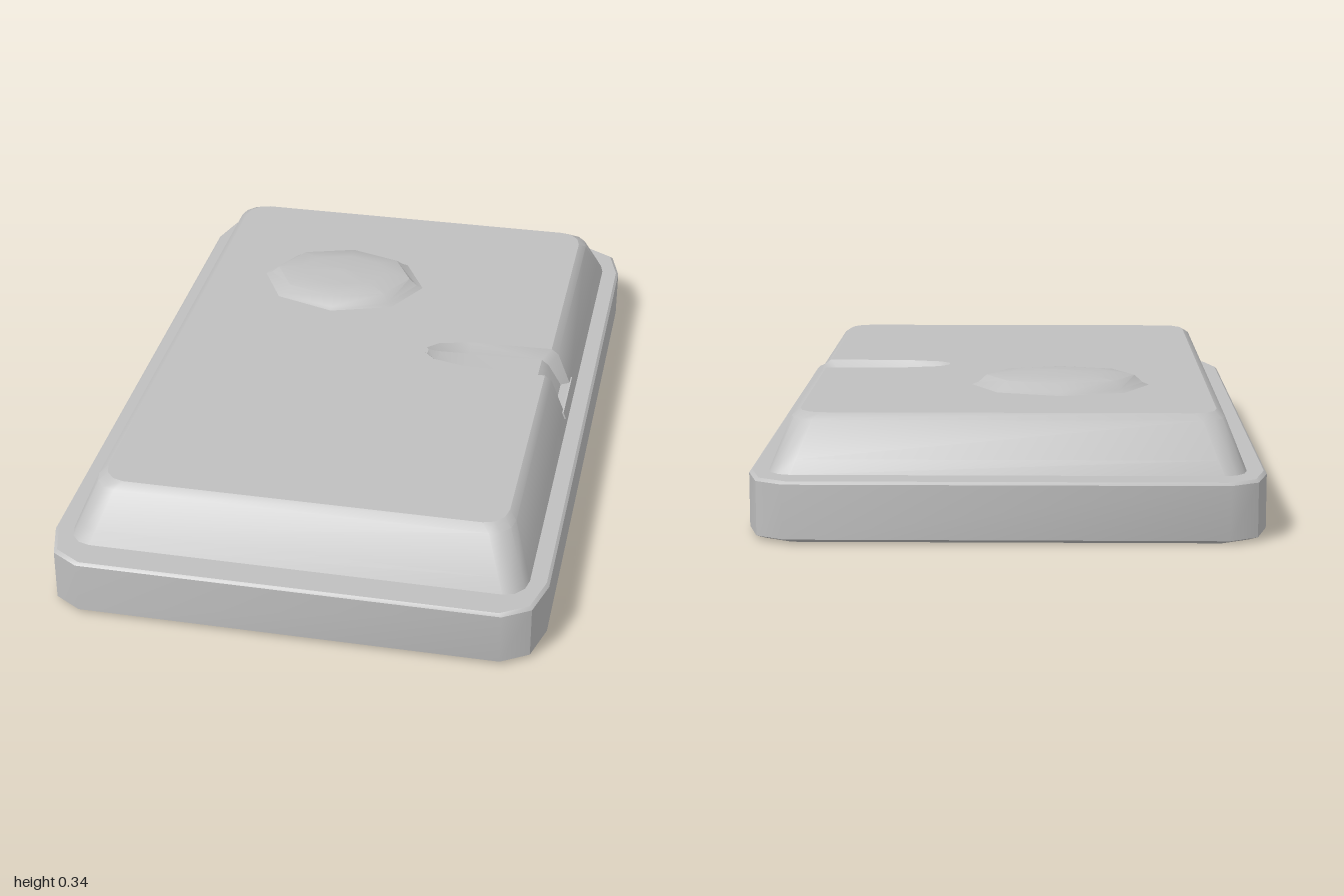
import * as THREE from 'three';
import { toCreasedNormals } from 'three/addons/utils/BufferGeometryUtils.js';

const NOTCH_Z = -0.01, NOTCH_W = 0.075;

// Skin between successive rows of [x, y, z] points
function loft(rows, closed = false) {
  const pos = [];
  for (let i = 0; i + 1 < rows.length; i++) {
    const n = rows[i].length;
    for (let j = 0; j < (closed ? n : n - 1); j++) {
      const k = (j + 1) % n;
      const a = rows[i][j], b = rows[i][k], c = rows[i + 1][k], d = rows[i + 1][j];
      pos.push(...a, ...b, ...c, ...a, ...c, ...d);
    }
  }
  const g = new THREE.BufferGeometry();
  g.setAttribute('position', new THREE.Float32BufferAttribute(pos, 3));
  return toCreasedNormals(g, 0.6);
}

// Horizontal face; points are [x, y, z], counter-clockwise from above
function cap(points, down = false) {
  const shape = new THREE.Shape(points.map((p) => new THREE.Vector2(p[0], -p[2])));
  const g = new THREE.ShapeGeometry(shape);
  g.rotateX(-Math.PI / 2).translate(0, points[0][1], 0);
  if (down) g.index.array.reverse();
  g.computeVertexNormals();
  return g;
}

// Rectangle with eased corners, starting at the middle of the +x side
function outline(y, hx, hz, rx, rz, segs) {
  const pts = [];
  [[1, 1], [-1, 1], [-1, -1], [1, -1]].forEach(([sx, sz], q) => {
    for (let s = 0; s <= segs; s++) {
      const t = (q + s / segs) * Math.PI / 2;
      pts.push([sx * (hx - rx) + rx * Math.cos(t), y, -sz * (hz - rz) - rz * Math.sin(t)]);
    }
  });
  return pts;
}

export function createModel() {
  const model = new THREE.Group();
  const grey = new THREE.MeshStandardMaterial({ color: 0xbfbfbf, side: THREE.DoubleSide });
  const add = (name, geometry) => {
    const mesh = new THREE.Mesh(geometry, grey);
    mesh.name = name;
    model.add(mesh);
    return mesh;
  };

  // Base slab with small bevels
  const base = [[0, 0.02], [0.01, 0], [0.148, 0], [0.155, 0.007]]
    .map(([y, inset]) => outline(y, 0.65 - inset, 1 - inset, 0.1, 0.15, 2));
  add('baseSides', loft(base, true));
  add('baseTop', cap(base[3]));
  add('baseBottom', cap(base[0], true));

  // Sloping upper body, left open where the notch crosses its side
  const levels = [[0.155, 0.6, 0.915], [0.19, 0.586, 0.893], [0.28, 0.55, 0.835], [0.295, 0.53, 0.812]];
  const body = levels.map(([y, hx, hz]) => [
    [hx, y, NOTCH_Z - NOTCH_W],
    ...outline(y, hx, hz, 0.06, 0.07, 3),
    [hx, y, NOTCH_Z + NOTCH_W],
  ]);
  add('bodySides', loft(body));
  add('bodyBelowNotch', loft(levels.slice(0, 2).map(([y, hx]) => [
    [hx, y, NOTCH_Z + NOTCH_W], [hx, y, NOTCH_Z - NOTCH_W],
  ])));

  // Notch stations: rim x, rim y, half width, floor x, floor y
  const stations = [
    [0.18, 0.295, 0.015, 0.185, 0.29],
    [0.21, 0.295, 0.045, 0.215, 0.274],
    [0.3, 0.295, 0.068, 0.3, 0.265],
    [0.53, 0.295, NOTCH_W, 0.505, 0.265],
    [0.55, 0.28, NOTCH_W, 0.525, 0.25],
    [0.586, 0.19, NOTCH_W, 0.562, 0.19],
    [0.586, 0.19, NOTCH_W, 0.586, 0.19],
  ];
  add('notch', loft(stations.map(([x, y, w, fx, fy]) => [
    [x, y, NOTCH_Z - w], [fx, fy, NOTCH_Z - 0.8 * w],
    [fx, fy, NOTCH_Z + 0.8 * w], [x, y, NOTCH_Z + w],
  ])));

  // Top face, cut around the notch
  const rim = stations.slice(0, 3);
  add('bodyTop', cap([
    ...body[3],
    ...rim.slice().reverse().map(([x, y, w]) => [x, y, NOTCH_Z + w]),
    ...rim.map(([x, y, w]) => [x, y, NOTCH_Z - w]),
  ]));

  // Small lip at the foot of the notch
  const lip = add('notchLip', new THREE.BoxGeometry(0.016, 0.02, 0.2));
  lip.position.set(0.586, 0.18, NOTCH_Z - 0.005);
  lip.rotation.z = 0.38;

  // Low eight-sided button
  const button = [[0.295, 0.24, 0.19], [0.302, 0.222, 0.178], [0.322, 0.2, 0.15], [0.331, 0.13, 0.09], [0.336, 0.001, 0.001]];
  add('button', loft(button.map(([y, rx, rz]) => Array.from({ length: 8 }, (_, i) => {
    const t = i * Math.PI / 4;
    return [-0.135 + rx * Math.cos(t), y, -0.37 - rz * Math.sin(t)];
  })), true));

  return model;
}
